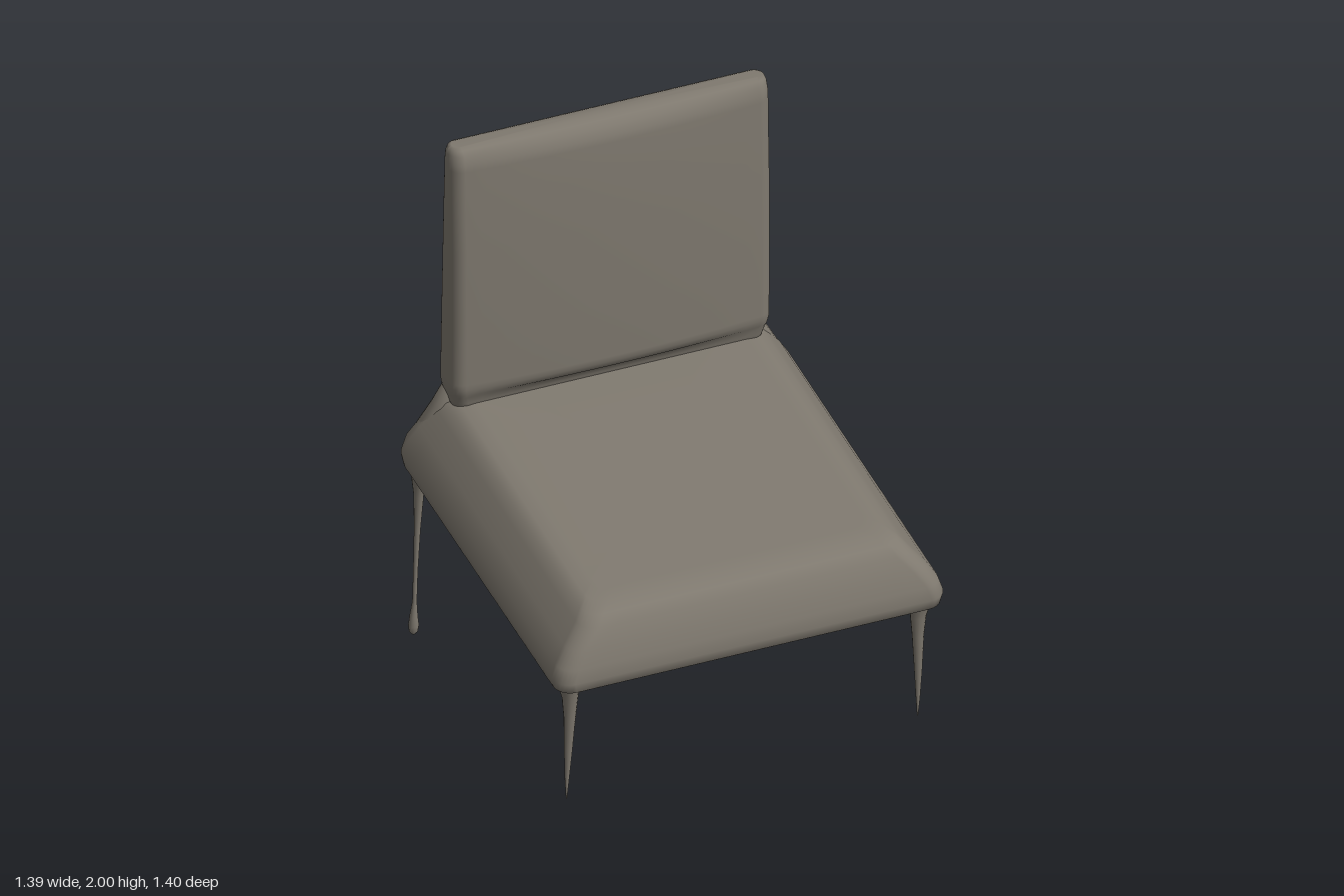
import * as THREE from 'three';

// Skin a stack of closed rings (listed bottom to top) and cap both ends
function loft(rings) {
  const n = rings[0].length, pos = [], idx = [];
  rings.forEach(r => r.forEach(p => pos.push(...p)));
  for (let i = 0; i < rings.length - 1; i++) {
    for (let j = 0; j < n; j++) {
      const k = (j + 1) % n;
      const a = i * n + j, b = i * n + k, c = a + n, d = b + n;
      idx.push(a, c, b, b, c, d);
    }
  }
  [0, rings.length - 1].forEach((row, top) => {
    const centre = pos.length / 3;
    for (let q = 0; q < 3; q++) pos.push(rings[row].reduce((s, p) => s + p[q], 0) / n);
    for (let j = 0; j < n; j++) {
      const a = row * n + j, b = row * n + (j + 1) % n;
      idx.push(centre, top ? b : a, top ? a : b);
    }
  });
  const g = new THREE.BufferGeometry();
  g.setAttribute('position', new THREE.Float32BufferAttribute(pos, 3));
  g.setIndex(idx);
  g.computeVertexNormals();
  return g;
}

// Rounded rectangle in x/z with subdivided straight edges
function roundedRect(hw, zFront, zBack, radius, edgeSteps = 16, arcSteps = 6) {
  const r = Math.min(radius, (zFront - zBack) / 2 * 0.98);
  const corners = [[hw - r, zFront - r], [-hw + r, zFront - r], [-hw + r, zBack + r], [hw - r, zBack + r]];
  const pts = [];
  corners.forEach(([cx, cz], k) => {
    for (let s = 0; s <= arcSteps; s++) {
      const a = (k + s / arcSteps) * Math.PI / 2;
      pts.push([cx + r * Math.cos(a), cz + r * Math.sin(a)]);
    }
    const end = (k + 1) * Math.PI / 2, next = corners[(k + 1) % 4];
    const from = pts[pts.length - 1];
    const to = [next[0] + r * Math.cos(end), next[1] + r * Math.sin(end)];
    for (let s = 1; s < edgeSteps; s++) {
      const t = s / edgeSteps;
      pts.push([from[0] + (to[0] - from[0]) * t, from[1] + (to[1] - from[1]) * t]);
    }
  });
  return pts;
}

// Sloping cushion with bevelled sides: height, half width, front z, back z
function seatGeometry() {
  const levels = [
    [0.012, 0.60, 0.61, -0.60], [0.0, 0.66, 0.67, -0.65], [0.02, 0.688, 0.693, -0.678],
    [0.06, 0.695, 0.70, -0.687], [0.11, 0.68, 0.692, -0.682], [0.17, 0.642, 0.675, -0.665],
    [0.235, 0.59, 0.65, -0.645], [0.265, 0.562, 0.622, -0.635], [0.28, 0.53, 0.58, -0.62],
    [0.285, 0.48, 0.52, -0.58]
  ];
  return loft(levels.map(([h, hw, zf, zb]) =>
    roundedRect(hw, zf, zb, 0.06).map(([x, z]) => [x, 0.655 + h - z * (0.066 + 0.09 * h), z])));
}

// Upright pad, bowed at the front with a shallow inset panel behind
function backrestGeometry() {
  const levels = [
    [0.94, 0.545, -0.52, -0.62, 0, 0], [0.995, 0.555, -0.505, -0.625, 0, 0],
    [1.02, 0.562, -0.50, -0.64, 0.005, 0], [1.035, 0.566, -0.495, -0.639, 0.022, 0],
    [1.06, 0.57, -0.49, -0.637, 0.028, 0], [1.08, 0.57, -0.49, -0.636, 0.03, 0.012],
    [1.3, 0.57, -0.488, -0.628, 0.032, 0.012], [1.6, 0.57, -0.488, -0.616, 0.03, 0.012],
    [1.8, 0.57, -0.495, -0.607, 0.03, 0.012], [1.92, 0.57, -0.498, -0.601, 0.026, 0.012],
    [1.945, 0.57, -0.50, -0.60, 0.024, 0], [1.975, 0.568, -0.507, -0.598, 0.018, 0],
    [1.992, 0.562, -0.517, -0.59, 0.008, 0], [2.0, 0.55, -0.53, -0.575, 0, 0]
  ];
  return loft(levels.map(([y, hw, zf, zb, bow, inset]) =>
    roundedRect(hw, zf, zb, 0.045, 20).map(([x, z]) => {
      const front = z > (zf + zb) / 2;
      const panel = Math.abs(x) < hw - 0.07 ? inset : 0;
      return [x, y, z + (front ? bow * (1 - (x / hw) ** 2) : panel)];
    })));
}

// Round tapering leg: x, y, z, radius, listed from the foot up
function legGeometry(stations, side) {
  return loft(stations.map(([x, y, z, r]) => Array.from({ length: 14 }, (_, j) => {
    const a = j / 14 * Math.PI * 2;
    return [side * x + r * Math.cos(a), y, z + r * Math.sin(a)];
  })));
}

const frontLeg = [
  [0.625, 0.15, 0.60, 0.002], [0.625, 0.22, 0.603, 0.007], [0.623, 0.35, 0.61, 0.014],
  [0.62, 0.48, 0.615, 0.02], [0.62, 0.56, 0.617, 0.027], [0.625, 0.61, 0.62, 0.036],
  [0.63, 0.66, 0.62, 0.05]
];
// Rear leg ends in a small foot and swells into the corner beside the backrest
const rearLeg = [
  [0.63, 0.0, -0.685, 0.006], [0.63, 0.012, -0.685, 0.015], [0.63, 0.035, -0.684, 0.018],
  [0.63, 0.07, -0.683, 0.014], [0.628, 0.13, -0.68, 0.008], [0.626, 0.25, -0.677, 0.008],
  [0.622, 0.42, -0.672, 0.011], [0.62, 0.56, -0.664, 0.017], [0.622, 0.65, -0.654, 0.028],
  [0.63, 0.70, -0.645, 0.042], [0.628, 0.76, -0.635, 0.052], [0.595, 0.86, -0.62, 0.052],
  [0.555, 0.95, -0.605, 0.043], [0.525, 1.02, -0.60, 0.036]
];

export function createModel() {
  const upholstery = new THREE.MeshStandardMaterial({ color: 0x7f796f });
  upholstery.name = 'warm grey';
  const model = new THREE.Group();
  model.name = 'chair';
  const add = (name, geometry) => {
    const mesh = new THREE.Mesh(geometry, upholstery);
    mesh.name = name;
    model.add(mesh);
  };
  add('seat', seatGeometry());
  add('backrest', backrestGeometry());
  for (const [label, side] of [['left', 1], ['right', -1]]) {
    add(label + 'FrontLeg', legGeometry(frontLeg, side));
    add(label + 'RearLeg', legGeometry(rearLeg, side));
  }
  return model;
}
